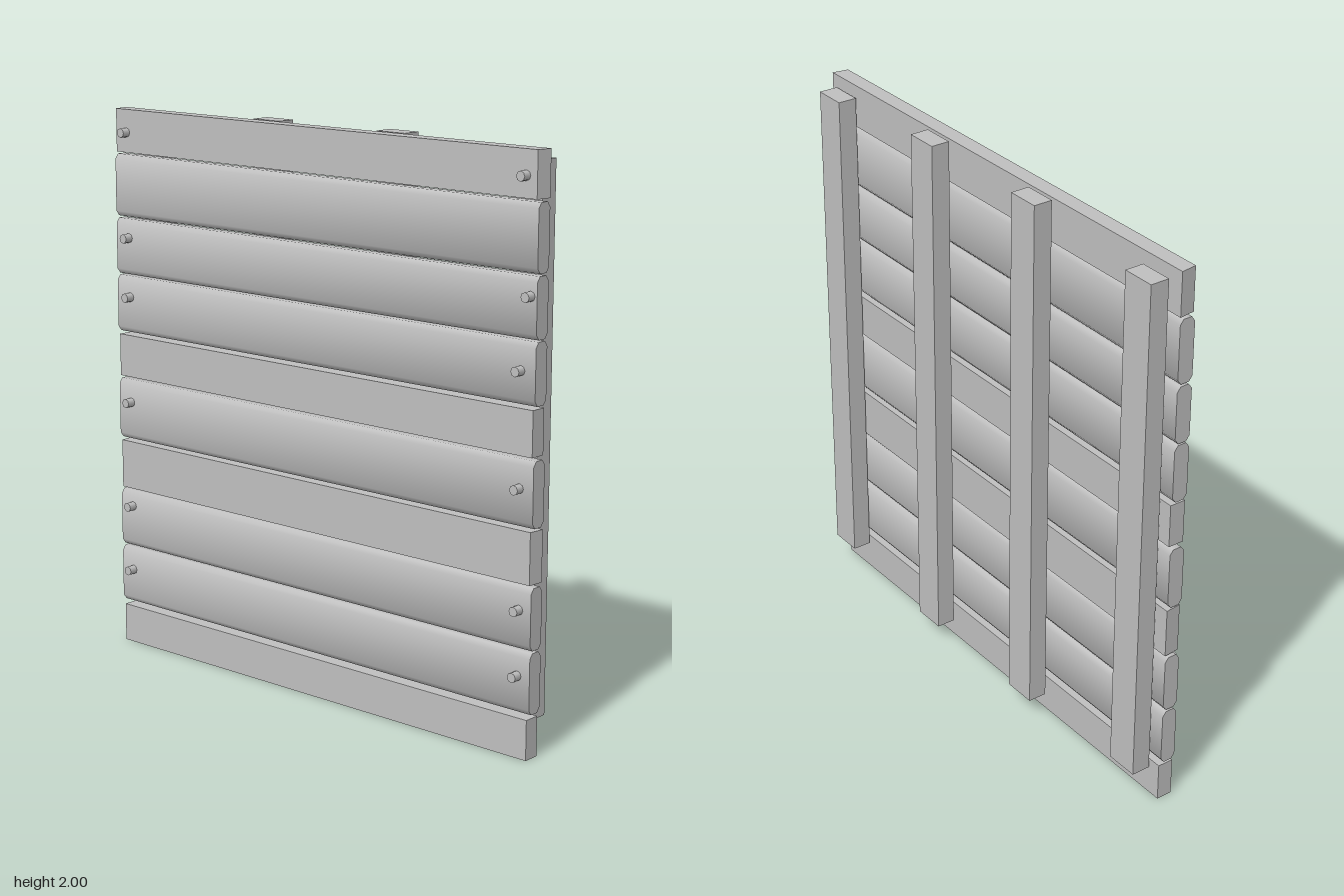
import * as THREE from 'three';
import { toCreasedNormals } from 'three/addons/utils/BufferGeometryUtils.js';

const Z_BACK = -0.005, Z_FRONT = 0.053;

// y range, bevelled long edges, half-width at back and front, bolts as [x, y]
const PLANKS = [
  { y: [0, 0.14], back: 0.945, front: 0.945 },
  { y: [0.157, 0.367], bevel: true, bolts: [[-0.897, 0.284], [0.903, 0.284]] },
  { y: [0.375, 0.587], bevel: true, bolts: [[-0.894, 0.53], [0.905, 0.508]] },
  { y: [0.597, 0.775], back: 0.952, front: 0.946 },
  { y: [0.785, 1.008], bevel: true, bolts: [[-0.893, 0.925], [0.898, 0.912]] },
  { y: [1.02, 1.175], back: 0.947, front: 0.947 },
  { y: [1.186, 1.394], bevel: true, bolts: [[-0.888, 1.318], [0.895, 1.297]] },
  { y: [1.4, 1.603], bevel: true, bolts: [[-0.89, 1.535], [0.929, 1.539]] },
  { y: [1.611, 1.836], bevel: true },
  { y: [1.845, 2], back: 0.954, front: 0.946, bolts: [[-0.894, 1.917], [0.903, 1.917]] },
];

// x centre, y range, z centre
const POSTS = [
  [-0.845, 0.115, 1.96, -0.05],
  [-0.272, 0.075, 2, -0.053],
  [0.288, 0.075, 2, -0.053],
  [0.854, 0.115, 1.96, -0.05],
];

// Plank with an eight-sided section, extruded along x
function bevelledPlank(y0, y1) {
  const by = 0.018, bz = 0.013;
  const section = new THREE.Shape([
    [Z_BACK, y0 + by], [Z_BACK + bz, y0], [Z_FRONT - bz, y0], [Z_FRONT, y0 + by],
    [Z_FRONT, y1 - by], [Z_FRONT - bz, y1], [Z_BACK + bz, y1], [Z_BACK, y1 - by],
  ].map(([z, y]) => new THREE.Vector2(-z, y)));
  const g = new THREE.ExtrudeGeometry(section, { depth: 1.908, bevelEnabled: false });
  g.translate(0, 0, -0.954).rotateY(Math.PI / 2);
  return toCreasedNormals(g, 1.1);
}

// Square-edged plank whose ends may narrow towards the front
function squarePlank(y0, y1, back, front) {
  const g = new THREE.BoxGeometry(2, y1 - y0, Z_FRONT - Z_BACK);
  const p = g.attributes.position;
  for (let i = 0; i < p.count; i++) p.setX(i, p.getX(i) * (p.getZ(i) > 0 ? front : back));
  g.translate(0, (y0 + y1) / 2, (Z_BACK + Z_FRONT) / 2);
  g.computeVertexNormals();
  return g;
}

export function createModel() {
  const model = new THREE.Group();
  model.name = 'plankPanel';
  const grey = new THREE.MeshStandardMaterial({ color: 0xc0c0c0 });
  grey.name = 'plain grey';

  const add = (name, geometry) => {
    const mesh = new THREE.Mesh(geometry, grey);
    mesh.name = name;
    model.add(mesh);
    return mesh;
  };

  // Horizontal planks with their bolts
  const boltGeometry = new THREE.CylinderGeometry(0.017, 0.017, 0.034, 8).rotateX(Math.PI / 2);
  PLANKS.forEach(({ y, bevel, back, front, bolts = [] }, i) => {
    add(`plank${i + 1}`, bevel ? bevelledPlank(...y) : squarePlank(...y, back, front));
    for (const [bx, by] of bolts) {
      add(`bolt${i + 1}${bx > 0 ? 'Left' : 'Right'}`, boltGeometry).position.set(bx, by, 0.067);
    }
  });

  // Upright posts behind the planks
  POSTS.forEach(([x, y0, y1, z], i) => {
    add(`post${i + 1}`, new THREE.BoxGeometry(0.122, y1 - y0, 0.069)).position.set(x, (y0 + y1) / 2, z);
  });

  return model;
}
